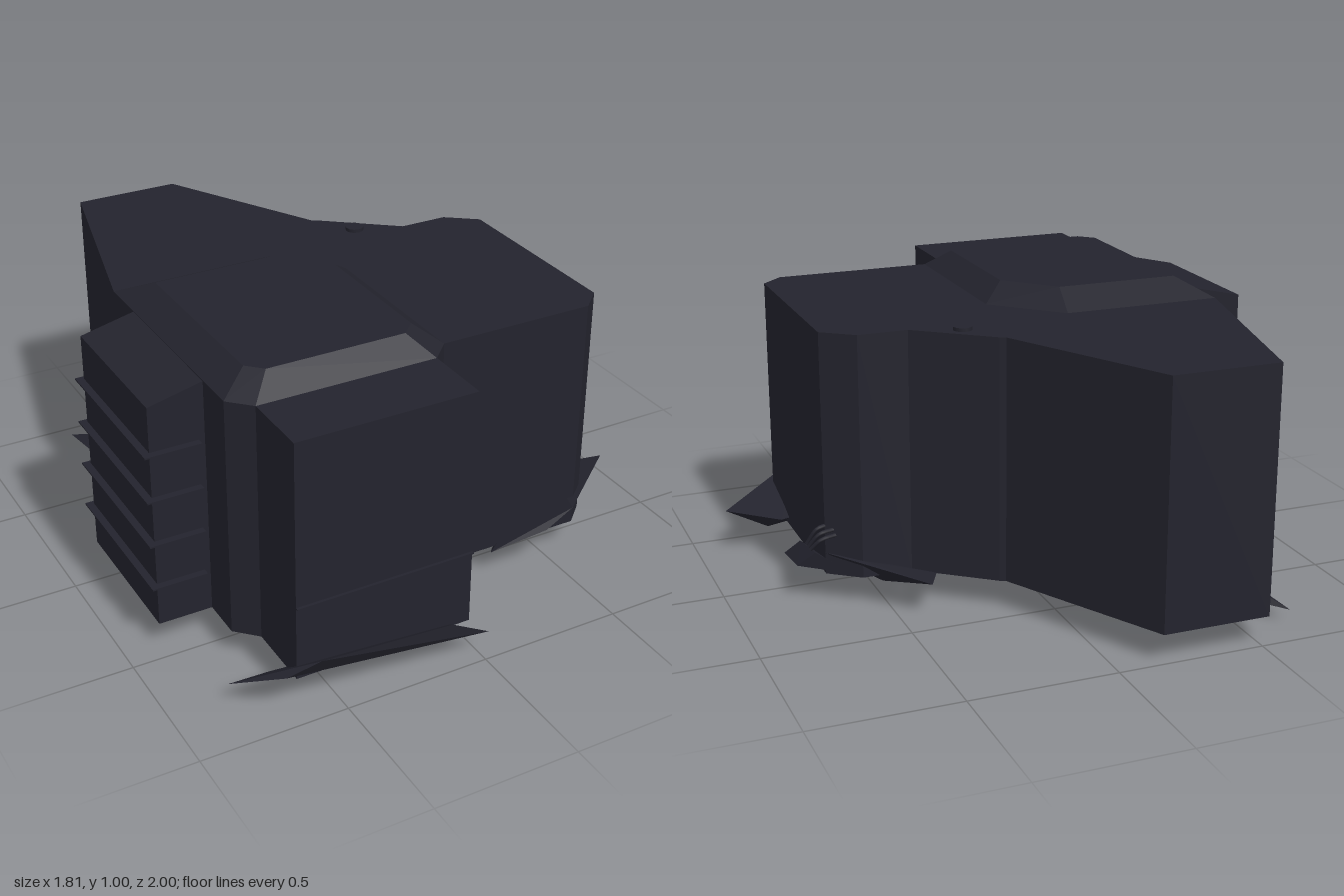
import * as THREE from 'three';
import { ConvexGeometry } from 'three/addons/geometries/ConvexGeometry.js';

export function createModel() {
  const group = new THREE.Group();
  const slate = new THREE.MeshStandardMaterial({ color: 0x23232d });
  slate.name = 'dark slate';

  const add = (name, geometry) => {
    const mesh = new THREE.Mesh(geometry, slate);
    mesh.name = name;
    group.add(mesh);
    return mesh;
  };
  const hull = (name, points) =>
    add(name, new ConvexGeometry(points.map((p) => new THREE.Vector3(...p))));
  const box = (name, x0, x1, y0, y1, z0, z1) =>
    add(name, new THREE.BoxGeometry(x1 - x0, y1 - y0, z1 - z0))
      .position.set((x0 + x1) / 2, (y0 + y1) / 2, (z0 + z1) / 2);

  const base = 0.1, eaves = 0.935, roof = 0.995;

  // Main walls: footprint in x, z raised to the eaves
  const footprint = [
    [-0.52, -1], [-0.15, -1], [0.15, -0.44], [0.17, -0.43], [0.41, -0.24], [0.58, -0.24],
    [0.685, -0.16], [0.685, 0.53], [0.61, 0.6], [0.06, 0.6], [-0.01, 0.67], [-0.01, 0.91],
    [-0.63, 0.91], [-0.63, 0.67], [-0.7, 0.6], [-0.7, -0.24],
  ];
  const shape = new THREE.Shape(footprint.map(([x, z]) => new THREE.Vector2(x, -z)));
  const walls = new THREE.ExtrudeGeometry(shape, { depth: eaves - base, bevelEnabled: false });
  walls.rotateX(-Math.PI / 2);
  add('mainWalls', walls).position.y = base;

  // Raised roof with sloping edges
  const outer = [[-0.7, -0.24], [-0.15, -0.24], [0.06, -0.03], [0.06, 0.6], [-0.01, 0.67], [-0.63, 0.67], [-0.7, 0.6]];
  const inner = [[-0.6, -0.12], [-0.17, -0.12], [-0.02, 0.04], [-0.02, 0.53], [-0.07, 0.58], [-0.55, 0.58], [-0.6, 0.53]];
  hull('raisedRoof', [
    ...outer.map(([x, z]) => [x, eaves, z]),
    ...inner.map(([x, z]) => [x, roof, z]),
  ]);

  // Side bay with a sloping top and thin ledges
  const bay = [];
  for (const z of [-0.075, 0.455]) {
    bay.push([-0.885, base, z], [-0.69, base, z], [-0.69, eaves, z], [-0.885, 0.89, z]);
  }
  hull('sideBay', bay);
  for (let i = 0; i < 4; i++) {
    const y = 0.25 + i * 0.16;
    box('bayLedge', -0.91, -0.72, y, y + 0.005, -0.09, 0.48);
  }
  box('frontLedge', -0.63, -0.01, 0.36, 0.365, 0.89, 0.92);

  // Roof vent
  const vent = new THREE.CylinderGeometry(0.032, 0.032, 0.02, 12);
  add('roofVent', vent).position.set(0.245, 0.937, -0.3);

  // Broken slabs of ground around the foot
  hull('frontSlab', [
    [-0.82, 0.09, 0.82], [-0.66, 0.05, 0.78], [-0.69, 0.16, 0.96], [-0.59, 0.215, 1],
    [-0.12, 0.17, 0.985], [0.02, 0.09, 0.98], [-0.08, 0.1, 0.9], [-0.46, 0.05, 0.8],
  ]);
  hull('cornerSlab', [
    [0.25, 0.11, 0.64], [0.44, 0.17, 0.69], [0.55, 0.22, 0.68], [0.9, 0.16, 0.37],
    [0.72, 0.13, 0.29], [0.5, 0.05, 0.53], [0.75, 0.08, 0.37], [0.31, 0.06, 0.56],
  ]);
  hull('sideSlab', [
    [0.61, 0, 0.1], [0.74, 0.05, 0.18], [0.775, 0.13, -0.13],
    [0.72, 0.18, -0.16], [0.6, 0.1, -0.2], [0.69, 0.1, 0.15],
  ]);
  hull('backSlab', [
    [0.4, 0.12, -0.42], [0.34, 0.1, -0.29], [0.58, 0.16, -0.24],
    [0.69, 0.18, -0.17], [0.5, 0.06, -0.2],
  ]);
  hull('rearShard', [
    [-0.67, 0.045, -0.88], [-0.58, 0.1, -0.74], [-0.64, 0.06, -0.6],
    [-0.46, 0.06, -0.65], [-0.5, 0.1, -0.6],
  ]);
  hull('rearSlab', [
    [-0.67, 0.07, -0.56], [-0.745, 0.08, -0.12], [-0.64, 0.1, -0.61],
    [-0.6, 0.1, -0.14], [-0.5, 0.1, -0.4], [-0.6, 0.06, -0.42],
  ]);

  // Bent bars sticking out of the side wall
  for (let i = 0; i < 3; i++) {
    const z = -0.15 - i * 0.025;
    const path = new THREE.CatmullRomCurve3([
      new THREE.Vector3(0.66, 0.27 - i * 0.01, z),
      new THREE.Vector3(0.71, 0.265 - i * 0.01, z - 0.01),
      new THREE.Vector3(0.745, 0.21, z + 0.005),
    ]);
    add('bentBar', new THREE.TubeGeometry(path, 8, 0.007, 5));
  }

  return group;
}
